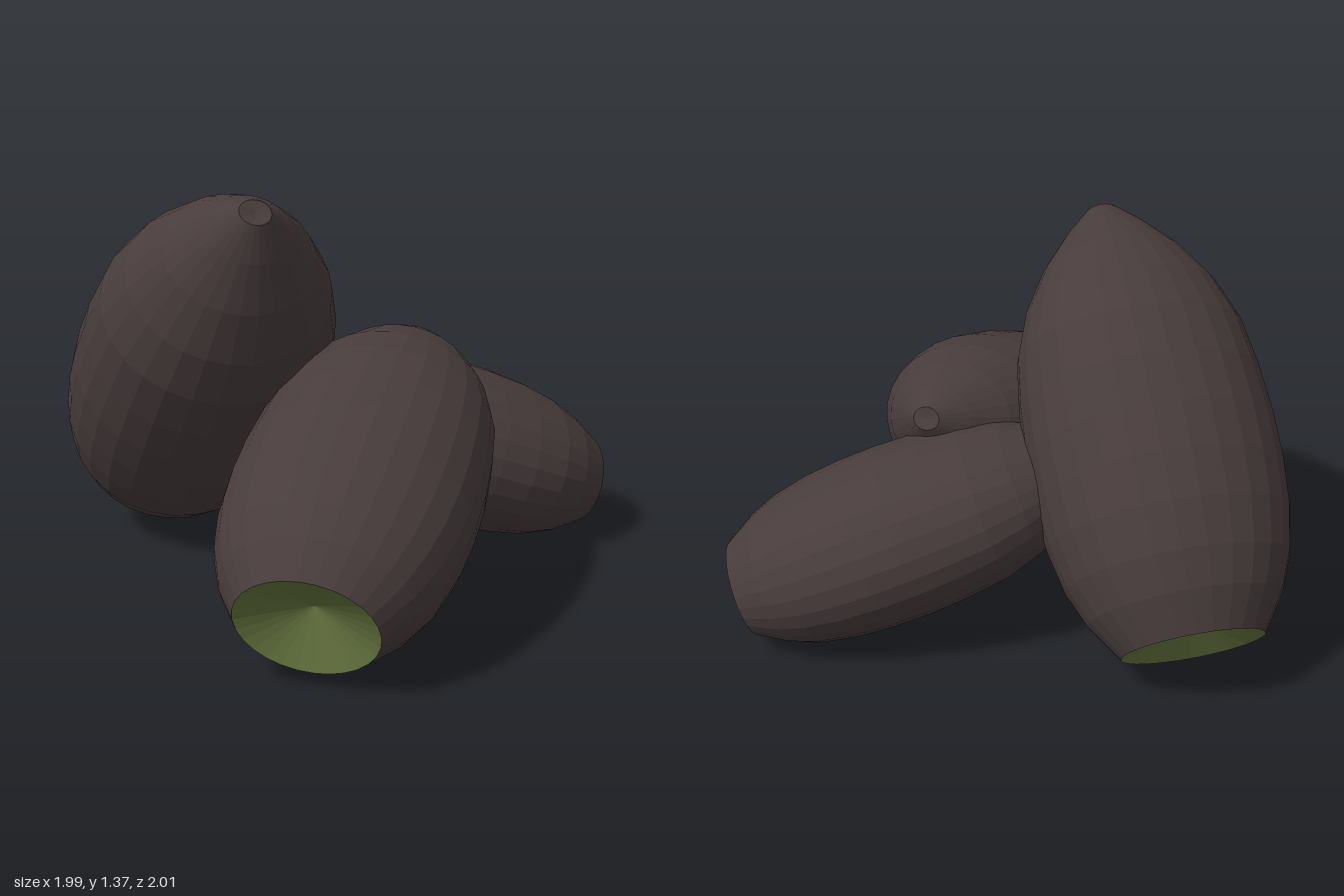
import * as THREE from 'three';

const SIDES = 28;
const skin = new THREE.MeshStandardMaterial({ color: 0x483c3c, flatShading: true });
const flesh = new THREE.MeshStandardMaterial({ color: 0x66753f, flatShading: true });

// Half outline of a pod: [radius relative to the widest ring, height relative to length]
const OUTLINE = [
  [0.56, 0], [0.76, 0.08], [0.88, 0.155], [0.96, 0.25], [0.995, 0.35], [1, 0.45],
  [0.975, 0.56], [0.92, 0.67], [0.79, 0.77], [0.58, 0.865], [0.33, 0.945],
  [0.16, 0.99], [0.12, 1], [0, 0.995],
];
// Hollowed cut end, from its sunken centre to the rim
const CUT = [[0, 0.065], [0.56, 0]];

const lathe = (points) =>
  new THREE.LatheGeometry(points.map(([r, h]) => new THREE.Vector2(r, h)), SIDES);

// A pod lying from its cut end to its tip, with an oval cross-section
function makePod({ name, base, tip, wide, deep }) {
  const from = new THREE.Vector3(...base);
  const axis = new THREE.Vector3(...tip).sub(from);
  const length = axis.length();
  axis.normalize();
  const side = new THREE.Vector3(0, 1, 0).cross(axis).normalize();
  const up = new THREE.Vector3().crossVectors(side, axis);

  const pod = new THREE.Group();
  pod.name = name;
  const body = new THREE.Mesh(lathe(OUTLINE), skin);
  body.name = 'podSkin';
  const end = new THREE.Mesh(lathe(CUT), flesh);
  end.name = 'cutEnd';
  pod.add(body, end);

  pod.quaternion.setFromRotationMatrix(new THREE.Matrix4().makeBasis(side, axis, up));
  pod.position.copy(from);
  pod.scale.set(wide, length, deep);
  return pod;
}

export function createModel() {
  const model = new THREE.Group();
  model.name = 'podPile';
  const pods = [
    // Large pod leaning on the other two
    { name: 'leaningPod', base: [-0.82, 0.175, 0.08], tip: [0.22, 1.33, 0.55], wide: 0.44, deep: 0.41 },
    // Pod pointing its cut end to the front
    { name: 'frontPod', base: [0.763, 0.22, 0.88], tip: [0.145, 0.77, -0.3], wide: 0.405, deep: 0.335 },
    // Flatter pod pointing its cut end to the back
    { name: 'backPod', base: [0.452, 0.17, -0.885], tip: [-0.23, 0.63, 0.18], wide: 0.372, deep: 0.292 },
  ];
  for (const pod of pods) model.add(makePod(pod));
  return model;
}
